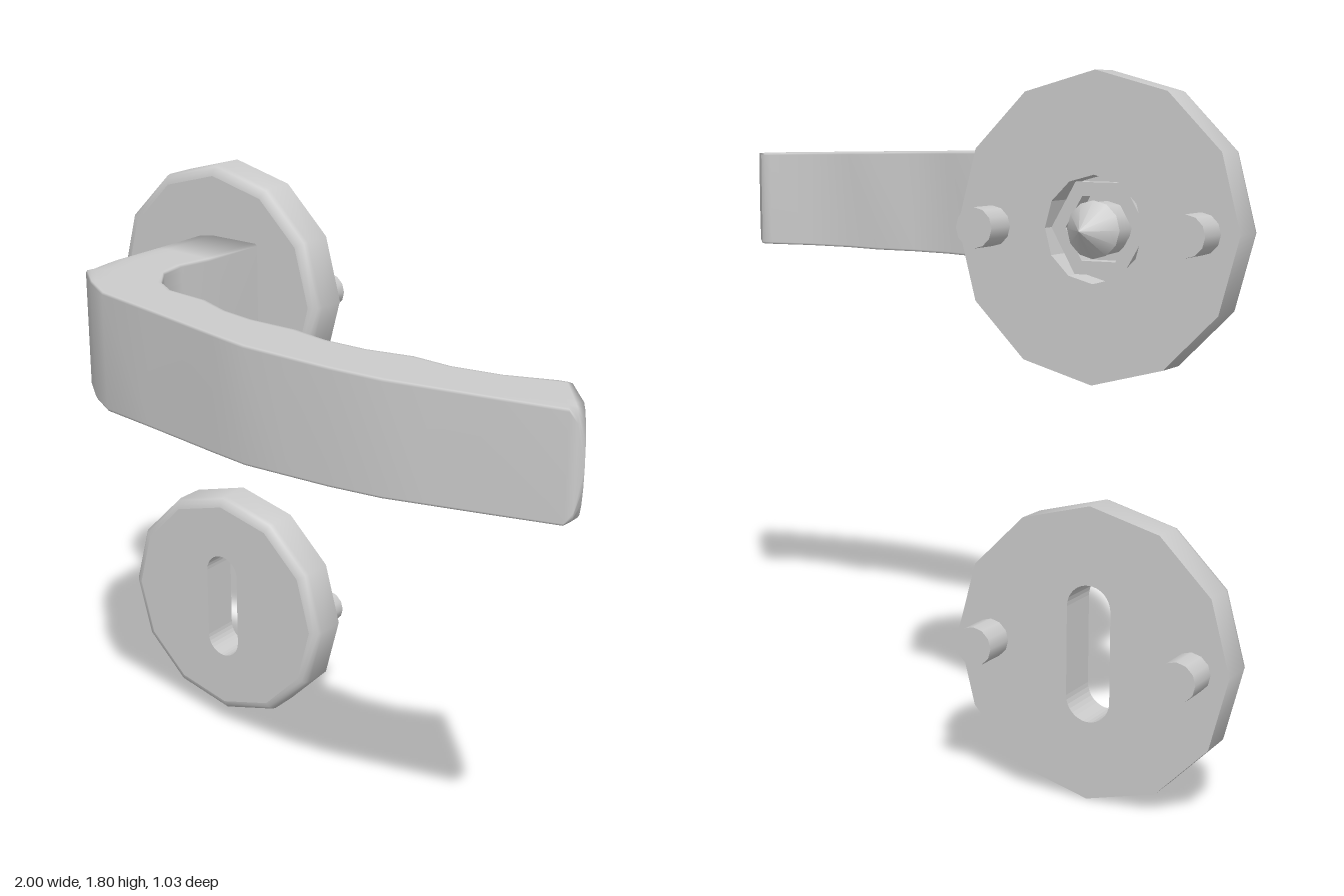
import * as THREE from 'three';
import { toCreasedNormals } from 'three/addons/utils/BufferGeometryUtils.js';

const CX = -0.625, BACK = -0.43, FRONT = -0.31, SIDES = 12;

export function createModel() {
  const model = new THREE.Group();
  const mat = new THREE.MeshStandardMaterial({ color: 0xcccccc, side: THREE.DoubleSide });

  const add = (parent, name, geo, x = 0, y = 0, z = 0) => {
    const mesh = new THREE.Mesh(geo, mat);
    mesh.name = name;
    mesh.position.set(x, y, z);
    parent.add(mesh);
    return mesh;
  };
  // Cylinder or cone lying along z; r1 is the front radius
  const rod = (r1, r2, length, sides) => new THREE.CylinderGeometry(r1, r2, length, sides).rotateX(Math.PI / 2);

  const polygon = (r, sides) => {
    const pts = [];
    for (let i = 0; i < sides; i++) {
      const a = (i / sides) * Math.PI * 2;
      pts.push(new THREE.Vector2(r * Math.cos(a), r * Math.sin(a)));
    }
    return pts;
  };

  // Round plate with a hole, a softened front rim and two fixing pins
  function plate(name, y, hole) {
    const group = new THREE.Group();
    group.name = name;
    group.position.set(CX, y, 0);
    const face = new THREE.Shape(polygon(0.345, SIDES));
    face.holes.push(hole);
    add(group, 'plateFace', new THREE.ExtrudeGeometry(face, { depth: FRONT - BACK, bevelEnabled: false, curveSegments: 8 }), 0, 0, BACK);

    const profile = [new THREE.Vector2(0.345, BACK), new THREE.Vector2(0.375, BACK)];
    for (let i = 0; i <= 3; i++) {
      const a = (i / 3) * Math.PI / 2;
      profile.push(new THREE.Vector2(0.345 + 0.03 * Math.cos(a), FRONT - 0.03 + 0.03 * Math.sin(a)));
    }
    const rim = new THREE.LatheGeometry(profile, SIDES).rotateX(Math.PI / 2);
    add(group, 'plateRim', toCreasedNormals(rim, 0.7));
    for (const s of [-1, 1]) add(group, 'fixingPin', rod(0.05, 0.05, 0.1, 12), s * 0.277, 0, -0.47);
    model.add(group);
    return group;
  }

  // Upper plate with a recess holding the spindle
  const bore = new THREE.Path(polygon(0.13, 12));
  const rose = plate('handleRose', 1.425, bore);
  add(rose, 'recessFloor', rod(0.132, 0.132, 0.04, 12), 0, 0, -0.335);
  const nut = new THREE.Shape(polygon(0.128, 6));
  nut.holes.push(new THREE.Path(polygon(0.09, 6)));
  add(rose, 'nut', new THREE.ExtrudeGeometry(nut, { depth: 0.045, bevelEnabled: false }), 0, 0, -0.4);
  add(rose, 'spindle', rod(0.065, 0.065, 0.09, 12), 0, 0, -0.39);
  add(rose, 'spindleTip', rod(0.07, 0, 0.075, 12), 0, 0, -0.4675);
  add(rose, 'collar', rod(0.155, 0.155, 0.03, 20), 0, 0.005, -0.305);

  // Lower plate with the key slot
  const slot = new THREE.Path();
  slot.absarc(0, 0.115, 0.06, 0, Math.PI);
  slot.absarc(0, -0.115, 0.06, Math.PI, Math.PI * 2);
  slot.closePath();
  plate('keyRose', 0.377, slot);

  // Lever: plan stations as [outer x, outer z, inner x, inner z]
  const stations = [
    [-0.79, -0.3, -0.455, -0.3], [-0.785, -0.1, -0.455, -0.08], [-0.74, 0.08, -0.475, 0.02],
    [-0.65, 0.22, -0.46, 0.11], [-0.56, 0.3, -0.4, 0.19], [-0.46, 0.365, -0.33, 0.235],
    [-0.27, 0.41, -0.2, 0.25], [-0.12, 0.447, -0.1, 0.295], [0, 0.477, 0, 0.315],
    [0.12, 0.505, 0.14, 0.315], [0.25, 0.51, 0.25, 0.34], [0.38, 0.515, 0.37, 0.34],
    [0.53, 0.51, 0.49, 0.315], [0.64, 0.49, 0.6, 0.325], [0.77, 0.467, 0.73, 0.305],
    [0.97, 0.43, 0.85, 0.26], [0.988, 0.42, 0.87, 0.257], [1, 0.4, 0.885, 0.26],
  ];
  // Half height: round at the elbow side, tapering along the grip, bowed at the tip
  const halfHeight = (x) => {
    if (x < -0.622) return Math.sqrt(Math.max(0, 0.168 ** 2 - (x + 0.622) ** 2));
    const h = 0.168 - 0.03 * (x + 0.622) / 1.6;
    return x > 0.97 ? h * Math.sqrt(Math.max(0, 1 - ((x - 0.97) / 0.03) ** 2)) : h;
  };
  const N = 12, ring = 2 * (N + 1), pos = [], idx = [];
  for (const [ox, oz, ix, iz] of stations) {
    for (let k = 0; k < ring; k++) {
      const top = k <= N, j = top ? k : ring - 1 - k;
      const u = (1 - Math.cos((j / N) * Math.PI)) / 2;
      const x = ox + (ix - ox) * u, z = oz + (iz - oz) * u;
      const h = halfHeight(x) * (j === 0 || j === N ? 0.96 : 1);
      pos.push(x, 1.428 + (top ? h : -h), z);
    }
  }
  const last = stations.length - 1;
  for (let s = 0; s < last; s++) {
    for (let k = 0; k < ring; k++) {
      const a = s * ring + k, b = s * ring + (k + 1) % ring;
      idx.push(a, a + ring, b, b, a + ring, b + ring);
    }
  }
  // Close both ends
  for (let k = 0; k < N; k++) {
    const t = k, b = ring - 1 - k, e = last * ring;
    idx.push(t, t + 1, b, t + 1, b - 1, b);
    idx.push(e + t, e + b, e + t + 1, e + t + 1, e + b, e + b - 1);
  }
  const lever = new THREE.BufferGeometry();
  lever.setAttribute('position', new THREE.Float32BufferAttribute(pos, 3));
  lever.setIndex(idx);
  lever.computeVertexNormals();
  add(model, 'lever', lever);

  return model;
}
